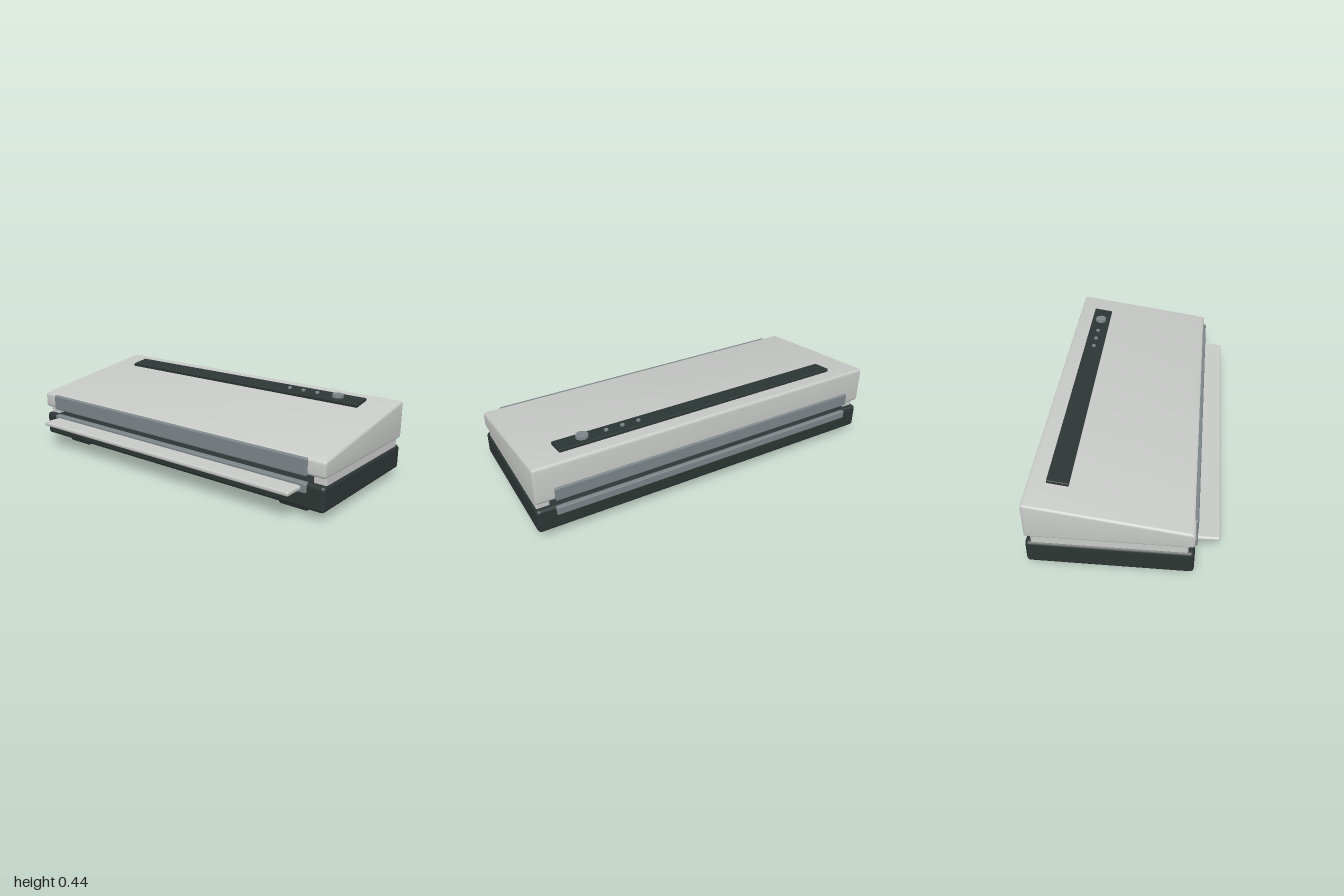
import * as THREE from 'three';
import { RoundedBoxGeometry } from 'three/addons/geometries/RoundedBoxGeometry.js';
import { toCreasedNormals } from 'three/addons/utils/BufferGeometryUtils.js';

const paint = (name, color) => {
  const m = new THREE.MeshStandardMaterial({ color });
  m.name = name;
  return m;
};

// Closed outline with every corner rounded by radius r
function roundedOutline(points, r) {
  const shape = new THREE.Shape();
  const v = points.map(([x, y]) => new THREE.Vector2(x, y));
  v.forEach((p, i) => {
    const prev = v[(i + v.length - 1) % v.length];
    const next = v[(i + 1) % v.length];
    const a = p.clone().add(prev.clone().sub(p).setLength(r));
    const b = p.clone().add(next.clone().sub(p).setLength(r));
    if (i === 0) shape.moveTo(a.x, a.y);
    else shape.lineTo(a.x, a.y);
    shape.quadraticCurveTo(p.x, p.y, b.x, b.y);
  });
  shape.closePath();
  return shape;
}

export function createModel() {
  const silver = paint('silver', 0xc8cac8);
  const charcoal = paint('charcoal', 0x2c3634);
  const steel = paint('steel grey', 0x7c8589);
  const group = new THREE.Group();

  const add = (name, geometry, material, x = 0, y = 0, z = 0) => {
    const mesh = new THREE.Mesh(geometry, material);
    mesh.name = name;
    mesh.position.set(x, y, z);
    group.add(mesh);
    return mesh;
  };
  // Rounded box given by its lower and upper limits on each axis
  const box = (name, material, [x0, x1], [y0, y1], [z0, z1], r) =>
    add(name, new RoundedBoxGeometry(x1 - x0, y1 - y0, z1 - z0, 3, r), material,
      (x0 + x1) / 2, (y0 + y1) / 2, (z0 + z1) / 2);

  // Base and its four feet
  box('base', charcoal, [-1, 1], [0.045, 0.179], [-0.461, 0.352], 0.02);
  for (const x of [-0.788, 0.788])
    for (const z of [-0.328, 0.218])
      box('foot', charcoal, [x - 0.086, x + 0.086], [0, 0.07], [z - 0.063, z + 0.063], 0.015);

  // Side rails holding the lid above the base, with an open slot between them
  for (const s of [-1, 1])
    box('sideRail', silver, [s * 0.955 - 0.035, s * 0.955 + 0.035], [0.165, 0.235], [-0.433, 0.322], 0.01);

  // Wedge-shaped lid, sloping down to the front
  const bevel = 0.012;
  const profile = roundedOutline(
    [[0.352, 0.219], [0.352, 0.306], [-0.461, 0.426], [-0.461, 0.219]].reverse(), 0.018);
  const lid = new THREE.ExtrudeGeometry(profile, {
    depth: 2 - 2 * bevel, bevelEnabled: true, bevelSize: bevel, bevelThickness: bevel,
    bevelOffset: -bevel, bevelSegments: 3, curveSegments: 4,
  });
  lid.translate(0, 0, -1 + bevel).rotateY(-Math.PI / 2);
  add('lid', toCreasedNormals(lid, 0.6), silver);

  // Jaw bars along the front and back slots
  box('frontUpperJaw', steel, [-0.905, 0.905], [0.215, 0.304], [0.325, 0.364], 0.008);
  box('frontLowerJaw', steel, [-0.905, 0.905], [0.129, 0.18], [0.325, 0.364], 0.008);
  box('backUpperJaw', steel, [-0.9, 0.9], [0.218, 0.29], [-0.473, -0.44], 0.006);
  box('backLowerJaw', steel, [-0.9, 0.9], [0.131, 0.176], [-0.473, -0.44], 0.006);

  // Feed tray
  box('feedTray', silver, [-0.878, 0.878], [0.141, 0.166], [0.34, 0.473], 0.01);

  // Control panel lying on the slope
  const tilt = Math.atan2(0.12, 0.813);
  const panel = add('controlPanel', new RoundedBoxGeometry(1.656, 0.018, 0.11, 2, 0.004),
    charcoal, 0, 0.4135, -0.316);
  panel.rotation.x = tilt;

  // Indicator buttons and knob
  for (const x of [0.375, 0.465, 0.555])
    add('button', new THREE.CylinderGeometry(0.011, 0.012, 0.014, 12), steel, x, 0.424, -0.316)
      .rotation.x = tilt;
  add('knobStem', new THREE.CylinderGeometry(0.016, 0.016, 0.02, 12), steel, 0.685, 0.42, -0.316);
  add('knob', new THREE.CylinderGeometry(0.032, 0.033, 0.017, 16), steel, 0.685, 0.4315, -0.314);

  return group;
}
